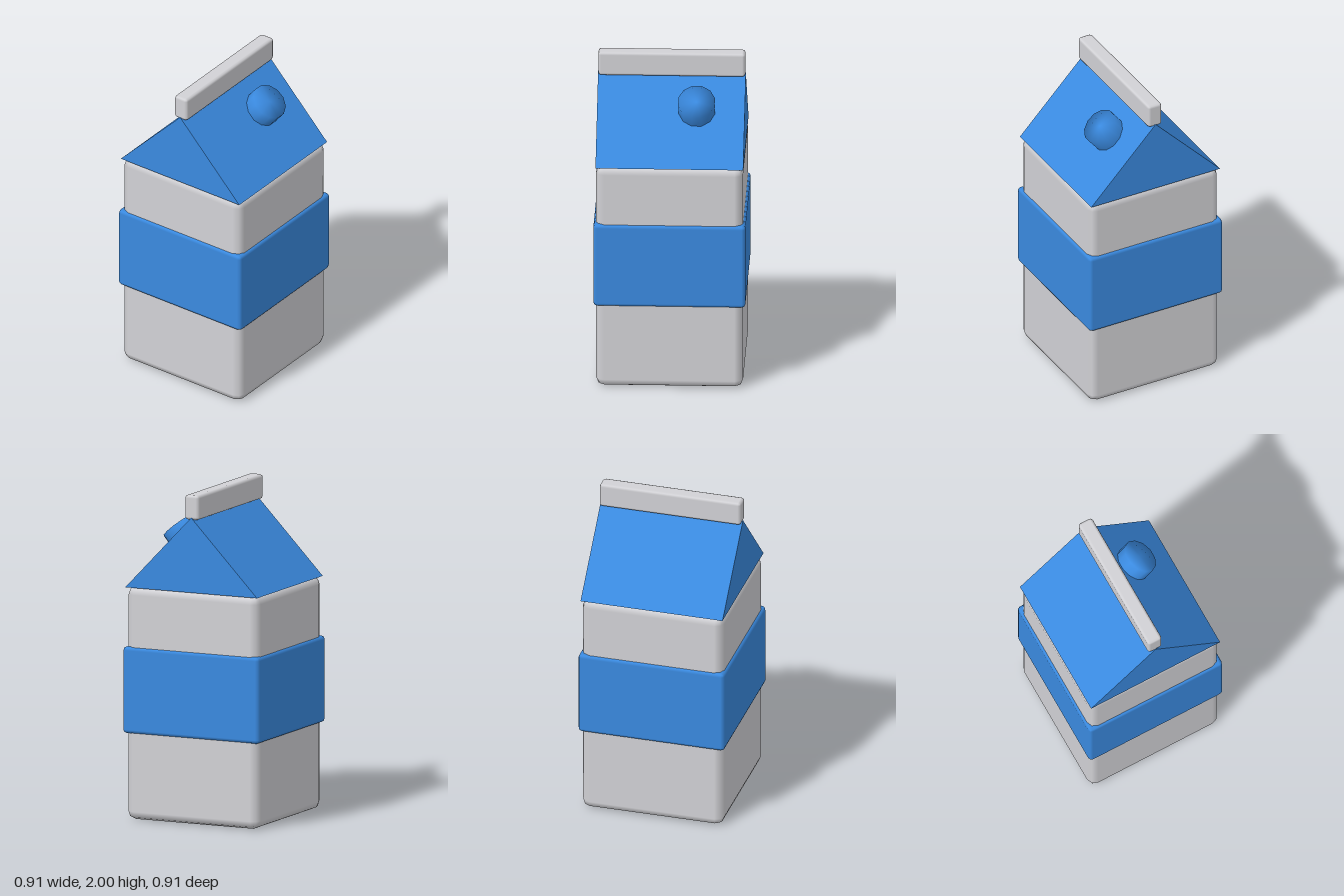
import * as THREE from 'three';
import { mergeVertices } from 'three/addons/utils/BufferGeometryUtils.js';
import { RoundedBoxGeometry } from 'three/addons/geometries/RoundedBoxGeometry.js';

export function createModel() {
  const group = new THREE.Group();
  const card = new THREE.MeshStandardMaterial({ color: 0xd2d2d6 });
  card.name = 'pale grey card';
  const blue = new THREE.MeshStandardMaterial({ color: 0x3a8ae0 });
  blue.name = 'blue';

  function add(name, geometry, material, y = 0) {
    const mesh = new THREE.Mesh(geometry, material);
    mesh.name = name;
    mesh.position.y = y;
    group.add(mesh);
    return mesh;
  }

  // Bevelled box spanning y0 to y1
  function bevelBox(name, w, y0, y1, d, bevel, material) {
    add(name, new RoundedBoxGeometry(w, y1 - y0, d, 1, bevel), material, (y0 + y1) / 2);
  }

  bevelBox('body', 0.88, 0, 1.415, 0.88, 0.05, card);
  bevelBox('band', 0.91, 0.525, 1.05, 0.91, 0.022, blue);
  bevelBox('topSeam', 0.88, 1.85, 2, 0.094, 0.018, card);

  // Gable roof: triangle in z/y, extruded along x
  const gable = new THREE.Shape([
    new THREE.Vector2(-0.44, 1.41),
    new THREE.Vector2(0.44, 1.41),
    new THREE.Vector2(0, 1.865),
  ]);
  const roof = new THREE.ExtrudeGeometry(gable, { depth: 0.884, bevelEnabled: false });
  roof.translate(0, 0, -0.442).rotateY(Math.PI / 2);
  add('roof', roof, blue);

  // Screw cap on the front slope, with normals blended over its rim
  let capGeometry = new THREE.CylinderGeometry(0.113, 0.113, 0.2, 12);
  capGeometry.deleteAttribute('normal');
  capGeometry.deleteAttribute('uv');
  capGeometry = mergeVertices(capGeometry);
  capGeometry.rotateY(Math.PI / 12);
  capGeometry.computeVertexNormals();
  const cap = add('cap', capGeometry, blue);
  cap.position.set(0.155, 1.683, 0.161);
  cap.rotation.x = 0.69;

  return group;
}
